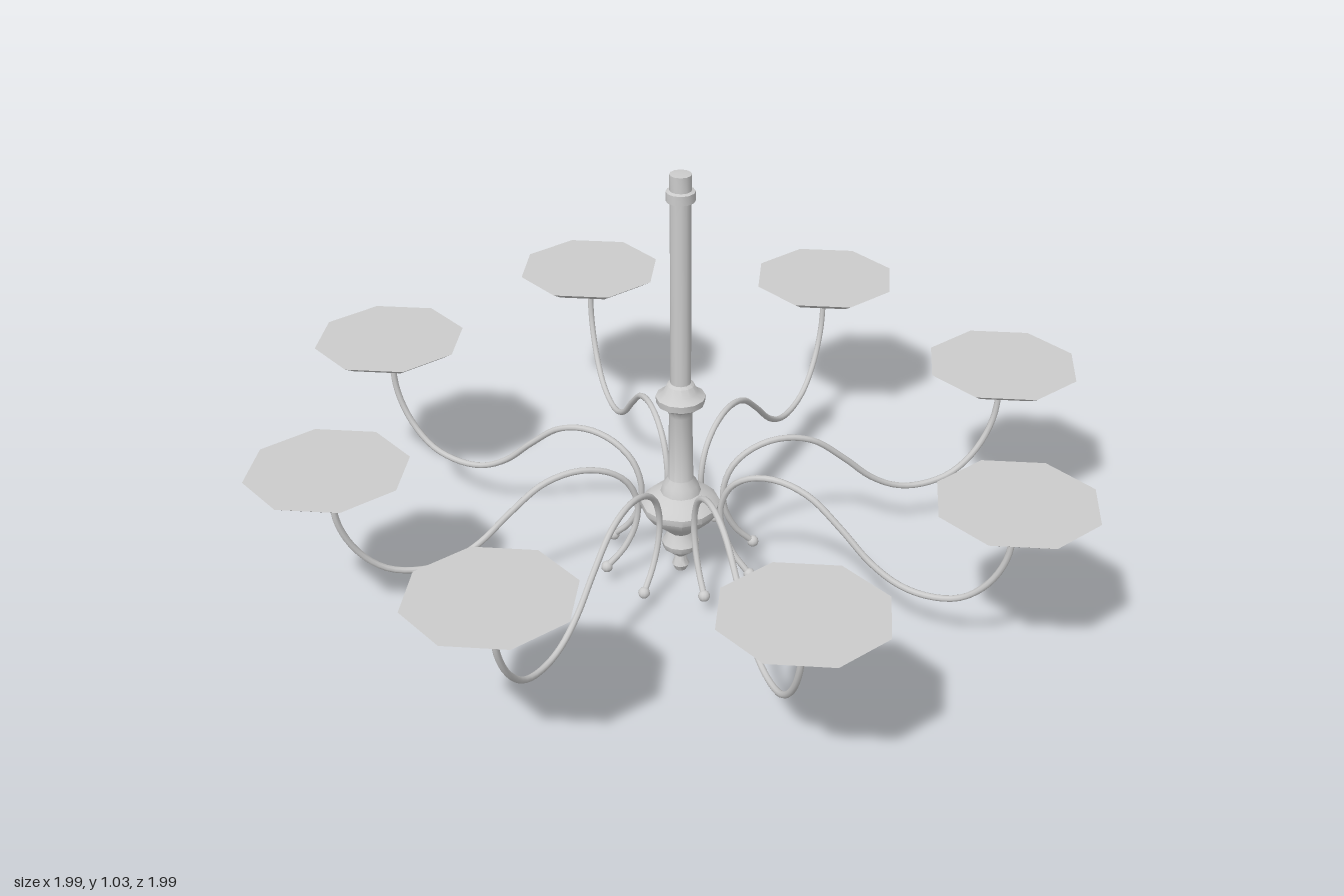
import * as THREE from 'three';
import { toCreasedNormals } from 'three/addons/utils/BufferGeometryUtils.js';

const ARMS = 8;
const REACH = 0.813;
const metal = new THREE.MeshStandardMaterial({ color: 0xcccccc });

const points = (list) => list.map(([r, y]) => new THREE.Vector2(r, y));

function lathe(list, sides, crease) {
  return toCreasedNormals(new THREE.LatheGeometry(points(list), sides), crease);
}

function part(name, geometry, x = 0, y = 0) {
  const mesh = new THREE.Mesh(geometry, metal);
  mesh.name = name;
  mesh.position.set(x, y, 0);
  return mesh;
}

export function createModel() {
  const model = new THREE.Group();
  model.name = 'chandelier';

  // Turned stem: finial, lower knob, main bulb, baluster, collar, rod, top ring
  model.add(part('stem', lathe([
    [0, 0], [0.014, 0.005], [0.021, 0.02], [0.015, 0.036], [0.013, 0.045],
    [0.024, 0.055], [0.042, 0.07], [0.045, 0.085], [0.036, 0.1], [0.03, 0.115],
    [0.045, 0.13], [0.075, 0.155], [0.093, 0.18], [0.093, 0.195], [0.075, 0.213],
    [0.048, 0.225], [0.042, 0.245], [0.03, 0.262],
    [0.027, 0.43], [0.033, 0.448], [0.056, 0.463], [0.058, 0.48],
    [0.04, 0.492], [0.032, 0.51], [0.024, 0.515],
    [0.024, 0.963], [0.033, 0.966], [0.033, 0.988], [0.025, 0.991],
    [0.025, 1.028], [0, 1.03],
  ], 12, 0.7)));

  // Shared arm pieces
  const path = new THREE.CatmullRomCurve3([
    [0.183, 0.045], [0.14, 0.09], [0.111, 0.15], [0.106, 0.21], [0.13, 0.27],
    [0.18, 0.308], [0.25, 0.322], [0.33, 0.302], [0.41, 0.24], [0.485, 0.172],
    [0.555, 0.135], [0.625, 0.127], [0.7, 0.146], [0.76, 0.2], [0.8, 0.28], [REACH, 0.385],
  ].map(([r, y]) => new THREE.Vector3(r, y, 0)));
  const tube = new THREE.TubeGeometry(path, 56, 0.0075, 8);
  const ball = new THREE.SphereGeometry(0.014, 10, 8);
  const dish = lathe([
    [0, 0.388], [0.075, 0.392], [0.15, 0.409], [0.184, 0.43], [0, 0.43],
  ], 8, 0.2);

  // Arms spaced evenly round the stem, each carrying a faceted dish
  for (let i = 0; i < ARMS; i++) {
    const arm = new THREE.Group();
    arm.name = `arm${i + 1}`;
    arm.add(
      part('curvedArm', tube),
      part('innerBall', ball, 0.183, 0.045),
      part('outerBall', ball, REACH, 0.378),
      part('dish', dish, REACH),
    );
    arm.rotation.y = (i / ARMS) * Math.PI * 2;
    model.add(arm);
  }
  return model;
}
